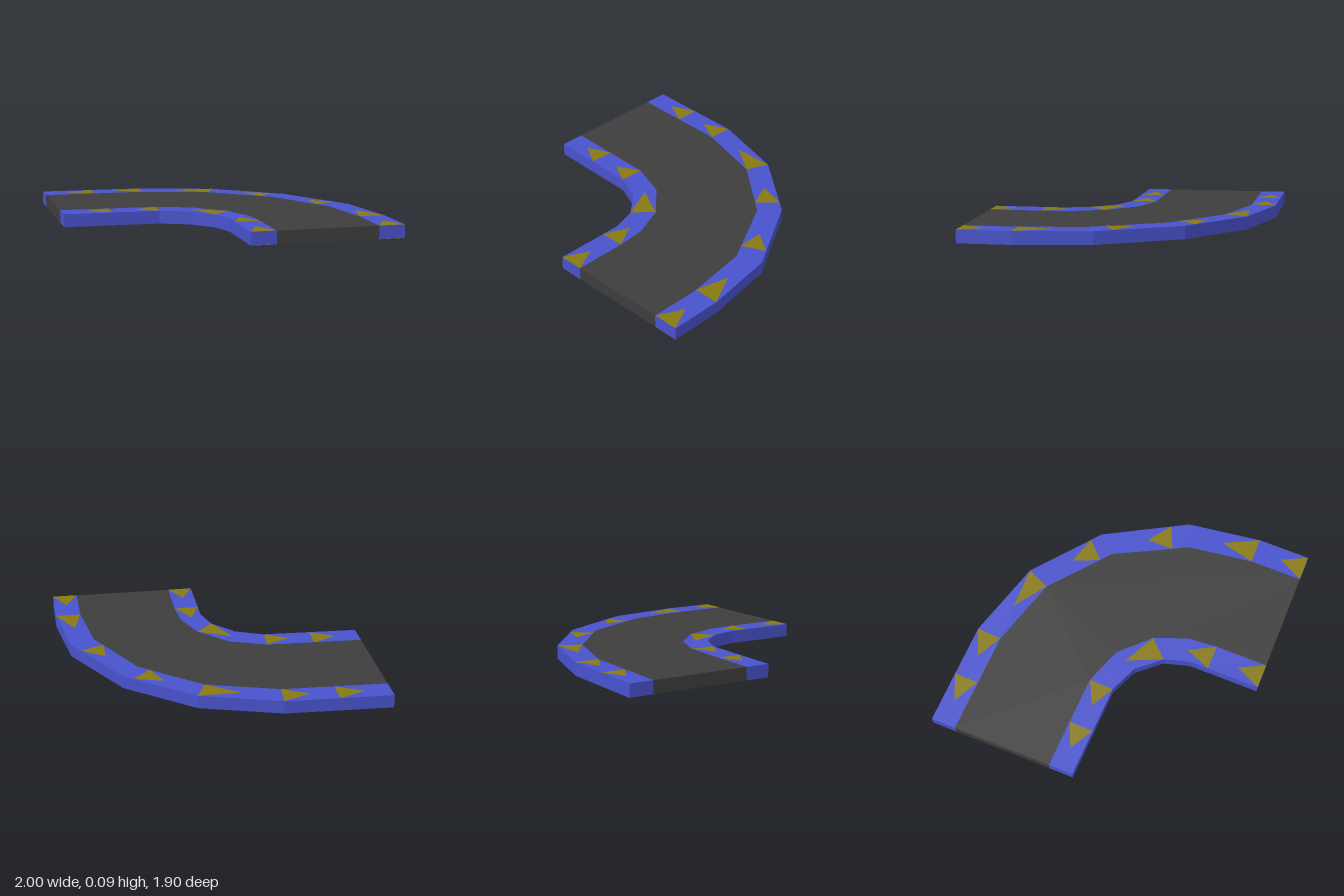
import * as THREE from 'three';

const HEIGHT = 0.087;
const LIFT = 0.001; // arrows sit just proud of the slab

// Curves along the bend as [x, z], from the front end to the left-hand end
const outerRim = [[1, 0.95], [1, 0.6], [0.93, 0.11], [0.635, -0.42], [0.205, -0.77], [-0.31, -0.925], [-1, -0.95]];
const outerRoad = [[0.83, 0.95], [0.83, 0.6], [0.77, 0.17], [0.525, -0.3], [0.14, -0.62], [-0.325, -0.76], [-1, -0.785]];
const innerRoad = [[0.165, 0.95], [0.165, 0.6], [0.15, 0.405], [0.065, 0.185], [-0.12, -0.005], [-0.365, -0.095], [-1, -0.12]];
const innerRim = [[0, 0.95], [0, 0.475], [-0.05, 0.305], [-0.185, 0.15], [-0.37, 0.07], [-1, 0.045]];

// Arrow triangles painted on the two borders
const arrows = {
  outerArrow: [
    [[0.83, 0.95], [1, 0.95], [0.915, 0.78]],
    [[0.83, 0.6], [1, 0.6], [0.885, 0.37]],
    [[0.715, 0.07], [0.87, 0], [0.715, -0.11]],
    [[0.455, -0.355], [0.57, -0.475], [0.38, -0.53]],
    [[0.14, -0.62], [0.205, -0.77], [-0.07, -0.77]],
    [[-0.32, -0.76], [-0.31, -0.925], [-0.49, -0.85]],
    [[-0.66, -0.775], [-0.655, -0.94], [-0.83, -0.865]],
  ],
  innerArrow: [
    [[0, 0.95], [0.165, 0.95], [0.08, 0.78]],
    [[0, 0.6], [0.165, 0.6], [0.07, 0.43]],
    [[-0.05, 0.305], [0.065, 0.185], [-0.155, 0.07]],
    [[-0.37, 0.07], [-0.365, -0.095], [-0.525, -0.015]],
    [[-0.685, 0.055], [-0.68, -0.11], [-0.84, -0.035]],
  ],
};

const toShape = (points) => new THREE.Shape(points.map(([x, z]) => new THREE.Vector2(x, -z)));

// Flat slab between two curves of the bend
function slab(name, outer, inner, material) {
  const shape = toShape([...outer, ...[...inner].reverse()]);
  const geometry = new THREE.ExtrudeGeometry(shape, { depth: HEIGHT - 2 * LIFT, bevelEnabled: false });
  geometry.rotateX(-Math.PI / 2).translate(0, LIFT, 0);
  const mesh = new THREE.Mesh(geometry, material);
  mesh.name = name;
  return mesh;
}

export function createModel() {
  const group = new THREE.Group();
  group.name = 'roadBend';
  const blue = new THREE.MeshStandardMaterial({ color: 0x4852cc, flatShading: true });
  const asphalt = new THREE.MeshStandardMaterial({ color: 0x3d3d3d, flatShading: true });
  const yellow = new THREE.MeshStandardMaterial({ color: 0x877910, side: THREE.DoubleSide });

  group.add(
    slab('outerBorder', outerRim, outerRoad, blue),
    slab('road', outerRoad, innerRoad, asphalt),
    slab('innerBorder', innerRoad, innerRim, blue),
  );

  // Arrows on the top and underside
  for (const [name, triangles] of Object.entries(arrows)) {
    triangles.forEach((points, i) => {
      const geometry = new THREE.ShapeGeometry(toShape(points)).rotateX(-Math.PI / 2);
      for (const [side, y] of [['Top', HEIGHT], ['Bottom', 0]]) {
        const mesh = new THREE.Mesh(geometry, yellow);
        mesh.name = `${name}${side}${i + 1}`;
        mesh.position.y = y;
        group.add(mesh);
      }
    });
  }
  return group;
}
